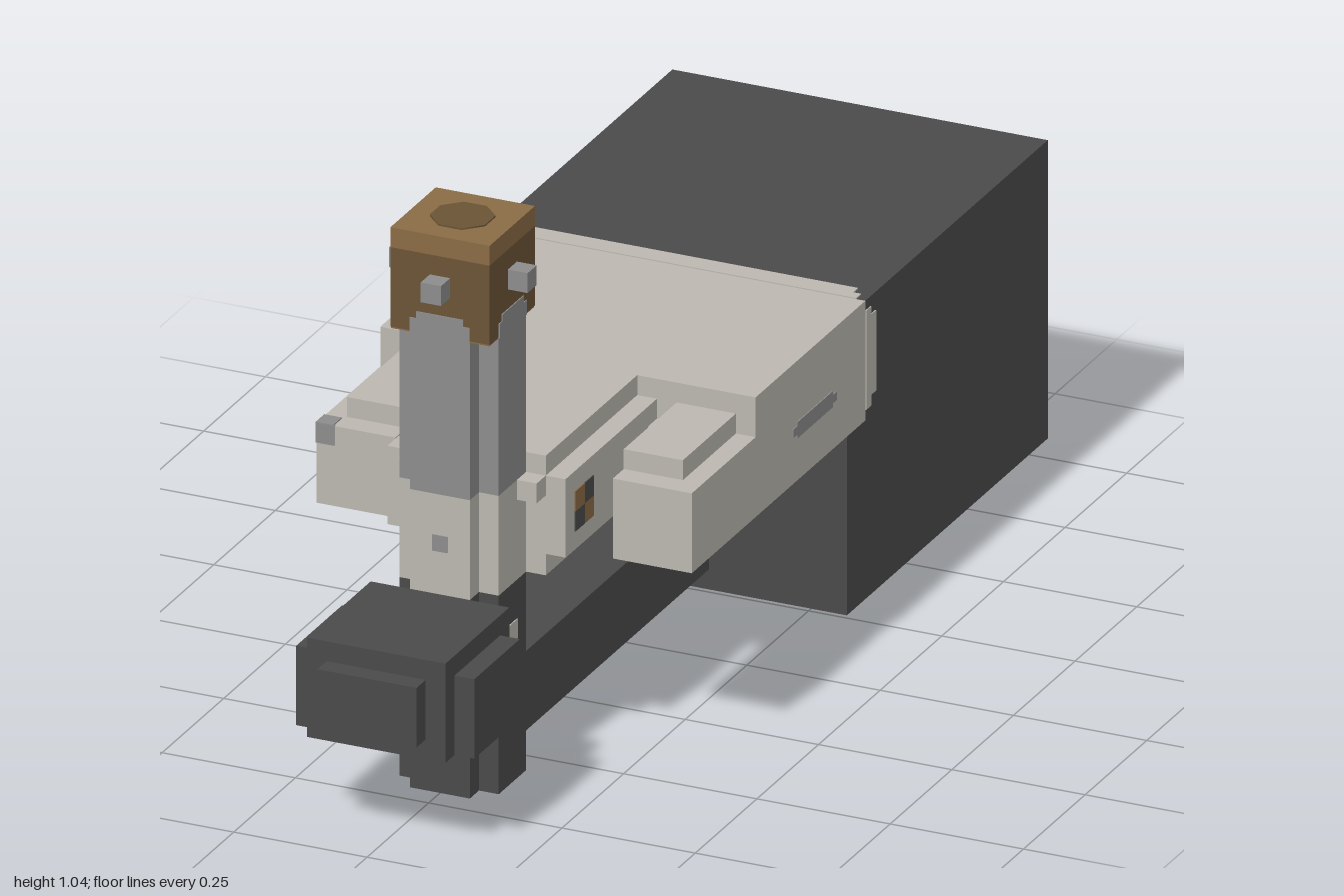
import * as THREE from 'three';

const mat = (name, color) => {
  const m = new THREE.MeshStandardMaterial({ color });
  m.name = name;
  return m;
};

export function createModel() {
  const group = new THREE.Group();
  const dark = mat('charcoal', 0x4a4a4a);
  const light = mat('warm grey', 0xbcb8b0);
  const grey = mat('mid grey', 0x8c8c8c);
  const brown = mat('brown', 0x8a6b45);
  const umber = mat('dark brown', 0x6a5435);

  // Box given by its lower and upper limits on each axis
  function box(name, m, x0, x1, y0, y1, z0, z1) {
    const mesh = new THREE.Mesh(new THREE.BoxGeometry(x1 - x0, y1 - y0, z1 - z0), m);
    mesh.position.set((x0 + x1) / 2, (y0 + y1) / 2, (z0 + z1) / 2);
    mesh.name = name;
    group.add(mesh);
    return mesh;
  }
  // Box centred on x = 0
  const mid = (name, m, w, y0, y1, z0, z1) => box(name, m, -w, w, y0, y1, z0, z1);
  // Mirrored pair of boxes
  function pair(name, m, x0, x1, y0, y1, z0, z1) {
    box(name + 'Left', m, x0, x1, y0, y1, z0, z1);
    box(name + 'Right', m, -x1, -x0, y0, y1, z0, z1);
  }

  // Rear block
  mid('rearBlockLower', dark, 0.352, 0.037, 0.37, -1, -0.185);
  mid('rearBlockUpper', dark, 0.352, 0.37, 0.593, -1, -0.26);

  // Upper slab with its rounded colour edge
  mid('upperSlab', light, 0.352, 0.37, 0.593, -0.26, 0.185);
  mid('slabEdgeTop', light, 0.32, 0.59, 0.595, -0.3, -0.26);
  mid('slabEdgeTopCorner', light, 0.335, 0.59, 0.595, -0.28, -0.26);
  pair('slabEdgeSide', light, 0.349, 0.354, 0.41, 0.56, -0.3, -0.26);
  pair('slabEdgeSideCorner', light, 0.349, 0.354, 0.39, 0.575, -0.28, -0.26);
  pair('sideSlot', grey, 0.349, 0.354, 0.45, 0.48, -0.125, 0.02);
  pair('sideSlotEnds', grey, 0.349, 0.354, 0.457, 0.473, -0.14, 0.035);

  // Neck and the two forward arms
  mid('neckTop', light, 0.13, 0.37, 0.593, 0.185, 0.556);
  mid('neckSides', light, 0.167, 0.41, 0.556, 0.185, 0.556);
  pair('neckPeg', light, 0.08, 0.13, 0.519, 0.556, 0.556, 0.593);
  pair('armRoot', light, 0.167, 0.204, 0.37, 0.519, 0.185, 0.222);
  pair('arm', light, 0.204, 0.352, 0.37, 0.519, 0.185, 0.444);
  pair('armPad', light, 0.204, 0.315, 0.519, 0.556, 0.185, 0.4);
  box('armCornerFront', grey, -0.353, -0.318, 0.483, 0.52, 0.44, 0.446);
  box('armCornerTop', grey, -0.353, -0.32, 0.516, 0.521, 0.41, 0.445);

  // Checked patch on each side of the neck
  for (let i = 0; i < 2; i++) for (let j = 0; j < 2; j++) {
    pair('checkPatch', i === j ? brown : dark, 0.164, 0.169,
      0.444 + j * 0.0375, 0.4815 + j * 0.0375, 0.444 + i * 0.0375, 0.4815 + i * 0.0375);
  }

  // Cross-shaped post in three colour bands
  for (const [name, m, y0, y1, back] of [
    ['postFoot', dark, 0, 0.37, 0.556],
    ['postMiddle', light, 0.37, 0.556, 0.54],
    ['postUpper', grey, 0.556, 0.86, 0.52],
  ]) {
    mid(name + 'Wide', m, 0.093, y0, y1, 0.556, 0.667);
    mid(name + 'Deep', m, 0.056, y0, y1, back, 0.704);
  }

  // Cap, its painted top and the grey arches rising onto it
  mid('capBody', umber, 0.093, 0.852, 1, 0.52, 0.704);
  mid('capRim', brown, 0.093, 1, 1.037, 0.52, 0.704);
  mid('capUnderside', brown, 0.092, 0.849, 0.853, 0.521, 0.703);
  const disc = new THREE.Mesh(new THREE.CylinderGeometry(0.056, 0.056, 0.004, 8), umber);
  disc.name = 'capTopPatch';
  disc.rotation.y = Math.PI / 8;
  disc.position.set(0, 1.038, 0.612);
  group.add(disc);
  for (const [z, s] of [[0.704, 'Front'], [0.52, 'Back']]) {
    mid('capArch' + s, grey, 0.056, 0.85, 0.877, z - 0.002, z + 0.002);
    mid('capArchTip' + s, grey, 0.044, 0.877, 0.89, z - 0.002, z + 0.002);
  }
  pair('capArch', grey, 0.091, 0.095, 0.85, 0.877, 0.556, 0.667);
  pair('capArchTip', grey, 0.091, 0.095, 0.877, 0.89, 0.568, 0.655);

  // Pegs around the cap
  pair('capPeg', grey, 0.093, 0.13, 0.926, 0.963, 0.593, 0.63);
  mid('capPegFront', grey, 0.019, 0.926, 0.963, 0.704, 0.741);
  mid('capPegBack', grey, 0.019, 0.89, 0.963, 0.483, 0.52);

  // Lower beam joining the post to the rear block
  mid('beam', dark, 0.093, 0.074, 0.222, -0.185, 0.556);
  mid('beamKeel', dark, 0.056, 0.037, 0.074, -0.185, 0.556);
  mid('beamStop', dark, 0.019, 0.222, 0.296, 0.486, 0.556);

  // Front head
  mid('headCore', dark, 0.13, 0.185, 0.37, 0.704, 0.963);
  pair('headCheek', dark, 0.13, 0.167, 0.185, 0.333, 0.741, 0.926);
  mid('headKnob', dark, 0.093, 0.222, 0.333, 0.963, 1);

  // Painted rivets
  for (const y of [0.135, 0.28]) {
    pair('sideRivet', light, 0.091, 0.095, y - 0.018, y + 0.018, 0.594, 0.63);
  }
  mid('frontRivetLower', grey, 0.015, 0.115, 0.147, 0.702, 0.706);
  mid('frontRivetUpper', grey, 0.014, 0.45, 0.48, 0.702, 0.706);

  // Splash-shaped patch under the rear block
  const tips = [[0.2, -0.54], [0.03, -0.45], [-0.11, -0.49], [-0.18, -0.68], [0.05, -0.88], [0.14, -0.84]];
  const pts = [];
  tips.forEach(([x, z], i) => {
    const [nx, nz] = tips[(i + 1) % tips.length];
    const dx = x, dz = z + 0.64, len = Math.hypot(dx, dz);
    const px = -dz / len * 0.022, pz = dx / len * 0.022;
    const a = Math.atan2((dz + nz + 0.64), dx + nx);
    pts.push(new THREE.Vector2(x + px, z + pz), new THREE.Vector2(x - px, z - pz));
    pts.push(new THREE.Vector2(Math.cos(a) * 0.085, -0.64 + Math.sin(a) * 0.085));
  });
  const splash = new THREE.Mesh(new THREE.ShapeGeometry(new THREE.Shape(pts)), grey);
  splash.name = 'undersidePatch';
  splash.rotation.x = Math.PI / 2;
  splash.position.y = 0.034;
  group.add(splash);

  return group;
}
